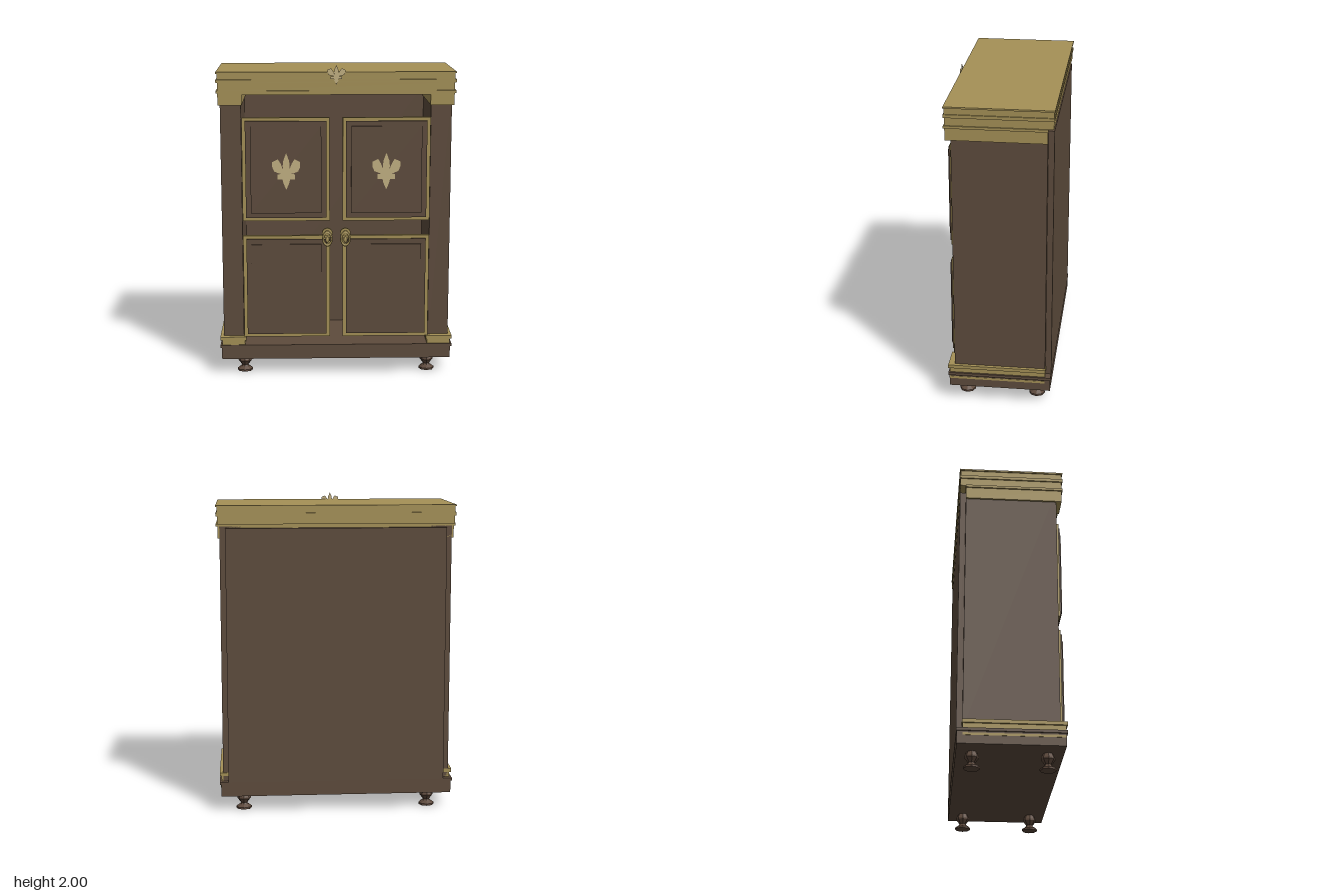
import * as THREE from 'three';

const mat = (name, color, extra = {}) => {
  const m = new THREE.MeshStandardMaterial({ color, ...extra });
  m.name = name;
  return m;
};

export function createModel() {
  const wood = mat('dark wood', 0x5e4c3d);
  const turned = mat('turned wood', 0x5c483b, { flatShading: true });
  const gilt = mat('gilt trim', 0xa59157);
  const pale = mat('pale gilt', 0xc3b183, { side: THREE.DoubleSide });
  const root = new THREE.Group();
  root.name = 'wardrobe';

  const add = (name, geometry, material, x = 0, y = 0, z = 0, parent = root) => {
    const mesh = new THREE.Mesh(geometry, material);
    mesh.name = name;
    mesh.position.set(x, y, z);
    parent.add(mesh);
    return mesh;
  };
  // Box given by its limits on each axis
  const box = (name, m, x0, x1, y0, y1, z0, z1, parent = root) =>
    add(name, new THREE.BoxGeometry(x1 - x0, y1 - y0, z1 - z0), m,
      (x0 + x1) / 2, (y0 + y1) / 2, (z0 + z1) / 2, parent);
  // The same box on both sides
  const pair = (name, m, x0, x1, ...rest) => {
    box(name + 'Left', m, x0, x1, ...rest);
    box(name + 'Right', m, -x1, -x0, ...rest);
  };

  // Plinth
  box('plinth', wood, -0.738, 0.738, 0.103, 0.18, -0.338, 0.298);
  box('plinthMoulding', wood, -0.747, 0.747, 0.18, 0.198, -0.341, 0.305);
  pair('plinthInlay', gilt, 0.735, 0.74, 0.155, 0.17, -0.305, 0.296);

  // Hollow carcass: side walls and back
  pair('sideWall', wood, 0.595, 0.725, 0.198, 1.83, -0.305, 0.265);
  box('innerBack', wood, -0.595, 0.595, 0.198, 1.815, -0.305, -0.24);
  box('backPanel', wood, -0.69, 0.69, 0.198, 1.815, -0.341, -0.305);

  // Column bases and capitals wrapping the side walls
  pair('baseBlock', gilt, 0.588, 0.735, 0.198, 0.23, -0.305, 0.296);
  pair('baseMoulding', gilt, 0.58, 0.747, 0.23, 0.252, -0.308, 0.305);
  pair('capital', gilt, 0.588, 0.737, 1.75, 1.826, -0.305, 0.298);

  // Cornice, stacked from the frieze up to the lid
  [
    ['frieze', 0.737, 1.815, 1.828, -0.305, 0.298],
    ['lowerMoulding', 0.747, 1.825, 1.841, -0.308, 0.305],
    ['corniceBand', 0.738, 1.84, 1.891, -0.341, 0.298],
    ['middleMoulding', 0.747, 1.89, 1.91, -0.345, 0.305],
    ['upperBand', 0.739, 1.909, 1.948, -0.341, 0.299],
    ['lid', 0.747, 1.947, 1.957, -0.347, 0.305],
  ].forEach(([name, x, y0, y1, z0, z1]) => box(name, gilt, -x, x, y0, y1, z0, z1));

  // Rectangle path, used for the door frames
  const rect = (path, x0, x1, y0, y1) =>
    path.moveTo(x0, y0).lineTo(x1, y0).lineTo(x1, y1).lineTo(x0, y1).closePath();

  // Doors: gilt frame with two stepped panels
  const door = (name, side, y0, y1) => {
    const g = new THREE.Group();
    g.name = name;
    root.add(g);
    const [x0, x1] = side > 0 ? [0.041, 0.591] : [-0.591, -0.041];
    const inset = 0.022;
    const shape = rect(new THREE.Shape(), x0, x1, y0, y1);
    shape.holes.push(rect(new THREE.Path(), x0 + inset, x1 - inset, y0 + inset, y1 - inset));
    add('doorFrame', new THREE.ExtrudeGeometry(shape, { depth: 0.027, bevelEnabled: false }),
      gilt, 0, 0, 0.266, g);
    [[0.021, 0.268, 0.303], [0.053, 0.303, 0.312]].forEach(([d, z0, z1], i) =>
      box(i ? 'raisedPanel' : 'doorPanel', wood, x0 + d, x1 - d, y0 + d, y1 - d, z0, z1, g));
  };

  // Lily emblem: half outline, mirrored
  const half = [[0, 0.117], [0.018, 0.068], [0.022, 0.035], [0.02, 0.012], [0.035, 0.05],
    [0.052, 0.078], [0.088, 0.06], [0.088, 0.03], [0.075, 0.0], [0.045, -0.012], [0.025, -0.016],
    [0.056, -0.018], [0.056, -0.05], [0.024, -0.05], [0.018, -0.075]];
  const outline = [...half, [0, -0.117], ...half.slice(1).reverse().map(([x, y]) => [-x, y])];
  const lily = new THREE.ShapeGeometry(new THREE.Shape(outline.map(p => new THREE.Vector2(...p))));

  // Handle: rounded mount, pin and oval drop ring
  const handle = (name, x) => {
    const g = new THREE.Group();
    g.name = name;
    g.position.x = x;
    root.add(g);
    const mount = add('handleMount', new THREE.CylinderGeometry(0.034, 0.034, 0.022, 12), gilt, 0, 0.942, 0.322, g);
    mount.rotation.x = Math.PI / 2;
    mount.scale.z = 0.95;
    const pin = add('handlePin', new THREE.CylinderGeometry(0.016, 0.016, 0.016, 10), gilt, 0, 0.945, 0.336, g);
    pin.rotation.x = Math.PI / 2;
    const ring = add('dropRing', new THREE.TorusGeometry(0.027, 0.0065, 6, 20), gilt, 0, 0.907, 0.34, g);
    ring.scale.y = 1.5;
    const drop = add('dropBoss', new THREE.SphereGeometry(0.013, 8, 6), gilt, 0, 0.9, 0.336, g);
    drop.scale.set(1, 1.6, 0.7);
  };

  // Turned foot profile
  const foot = new THREE.LatheGeometry(
    [[0, 0], [0.05, 0], [0.05, 0.012], [0.026, 0.028], [0.021, 0.036], [0.043, 0.066],
      [0.043, 0.076], [0.028, 0.106]].map(p => new THREE.Vector2(...p)), 8);

  for (const s of [1, -1]) {
    const label = s > 0 ? 'Left' : 'Right';
    door('upperDoor' + label, s, 1.015, 1.672);
    door('lowerDoor' + label, s, 0.251, 0.918);
    add('doorEmblem' + label, lily, pale, s * 0.314, 1.336, 0.315);
    handle('handle' + label, s * 0.057);
    for (const z of [0.203, -0.244])
      add((z > 0 ? 'frontFoot' : 'backFoot') + label, foot, turned, s * 0.594, 0, z);
  }

  // Crest emblem on the cornice
  add('crestEmblem', lily, pale, 0, 1.939, 0.309).scale.set(0.63, 0.52, 1);
  return root;
}
